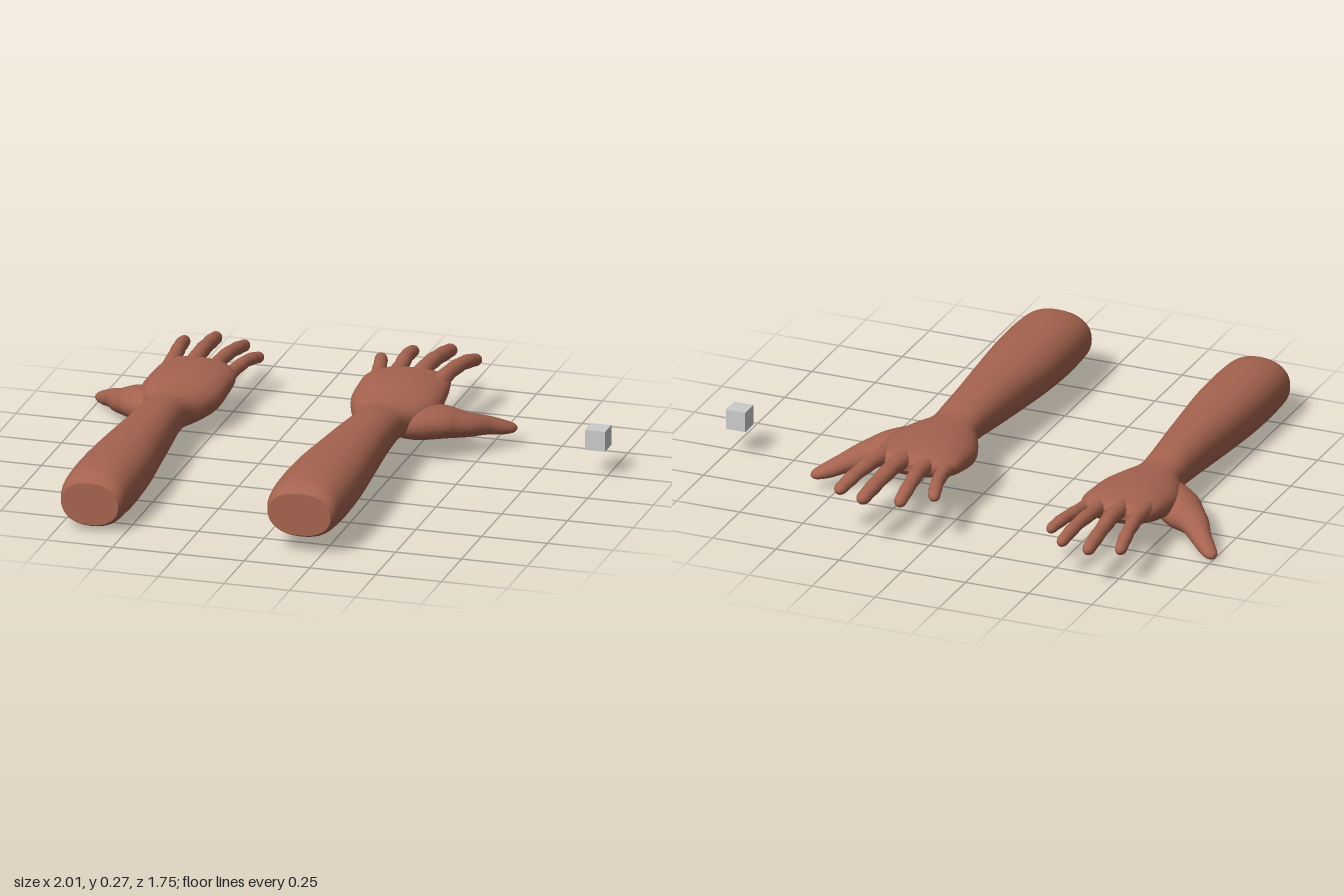
import * as THREE from 'three';

const skin = new THREE.MeshStandardMaterial({ color: 0xa5634f });
skin.name = 'skin';
const grey = new THREE.MeshStandardMaterial({ color: 0xcccccc });
grey.name = 'grey';

const UP = new THREE.Vector3(0, 1, 0);
const soften = (v, p) => Math.sign(v) * Math.abs(v) ** p;

// Smooth skin over sections [x, y, z, halfWidth, halfHeight]; side mirrors x.
function loft(name, sections, { side = 1, rows = 40, sides = 28, power = 1, frontal = false }) {
  const centre = new THREE.CatmullRomCurve3(
    sections.map(([x, y, z]) => new THREE.Vector3(x * side, y, z)), false, 'catmullrom');
  const size = new THREE.CatmullRomCurve3(
    sections.map((s) => new THREE.Vector3(s[3], s[4], 0)), false, 'catmullrom');
  const pos = [], index = [];
  for (let i = 0; i <= rows; i++) {
    const c = centre.getPoint(i / rows), r = size.getPoint(i / rows);
    const t = frontal ? new THREE.Vector3(0, 0, -1) : centre.getTangent(i / rows);
    const s = new THREE.Vector3().crossVectors(UP, t).normalize();
    const u = new THREE.Vector3().crossVectors(t, s);
    for (let j = 0; j < sides; j++) {
      const a = (j / sides) * Math.PI * 2;
      const p = c.clone()
        .addScaledVector(s, r.x * soften(Math.cos(a), power))
        .addScaledVector(u, r.y * soften(Math.sin(a), power));
      pos.push(p.x, p.y, p.z);
      if (i < rows) {
        const k = (j + 1) % sides, o = i * sides;
        index.push(o + j, o + k, o + sides + k, o + j, o + sides + k, o + sides + j);
      }
    }
  }
  // End caps with their own vertices, so the rim stays crisp
  for (const end of [0, 1]) {
    const c = centre.getPoint(end), first = pos.length / 3, ring = end * rows * sides * 3;
    pos.push(c.x, c.y, c.z, ...pos.slice(ring, ring + sides * 3));
    for (let j = 0; j < sides; j++) {
      const a = first + 1 + j, b = first + 1 + ((j + 1) % sides);
      if (end) index.push(first, a, b);
      else index.push(first, b, a);
    }
  }
  const geo = new THREE.BufferGeometry();
  geo.setAttribute('position', new THREE.Float32BufferAttribute(pos, 3));
  geo.setIndex(index);
  geo.computeVertexNormals();
  const mesh = new THREE.Mesh(geo, skin);
  mesh.name = name;
  return mesh;
}

// Finger: flared root, slight joint swellings, rounded tip
function finger(name, path, r, side) {
  const curve = new THREE.CatmullRomCurve3(path.map((p) => new THREE.Vector3(...p)));
  const length = curve.getLength(), sections = [];
  const n = 24;
  for (let i = 0; i <= n; i++) {
    const f = 1 - (1 - i / n) ** 1.6;
    const p = curve.getPointAt(f), left = (1 - f) * length;
    const flare = 0.3 * Math.max(0, 1 - f / 0.45);
    const joint = 0.07 * (Math.exp(-(((f - 0.55) / 0.06) ** 2)) + Math.exp(-(((f - 0.78) / 0.05) ** 2)));
    let w = r * (1.08 - 0.24 * f + flare + joint);
    const tip = r * 1.1;
    if (left < tip) w *= Math.sqrt(Math.max(0.004, 1 - (1 - left / tip) ** 2));
    sections.push([p.x, p.y, p.z, w, w * 0.95]);
  }
  return loft(name, sections, { side, rows: 48, sides: 18 });
}

const forearmAndPalm = [
  [0, 0.157, 0.867, 0.118, 0.08],
  [0, 0.163, 0.835, 0.132, 0.1],
  [0, 0.167, 0.77, 0.138, 0.108],
  [0, 0.168, 0.65, 0.14, 0.112],
  [0, 0.17, 0.48, 0.134, 0.108],
  [0.002, 0.172, 0.3, 0.118, 0.1],
  [0.004, 0.174, 0.12, 0.102, 0.09],
  [0.008, 0.175, -0.03, 0.092, 0.078],
  [0.008, 0.171, -0.12, 0.097, 0.07],
  [0.01, 0.17, -0.2, 0.138, 0.074],
  [0.008, 0.175, -0.29, 0.167, 0.078],
  [0.003, 0.187, -0.39, 0.168, 0.07],
  [0, 0.197, -0.47, 0.162, 0.055],
  [0.012, 0.203, -0.525, 0.135, 0.04],
  [0.02, 0.204, -0.55, 0.09, 0.015],
];

const thumb = [
  [0.03, 0.155, -0.13, 0.03, 0.03],
  [0.1, 0.148, -0.2, 0.075, 0.058],
  [0.185, 0.138, -0.28, 0.088, 0.06],
  [0.26, 0.119, -0.325, 0.06, 0.047],
  [0.32, 0.1, -0.39, 0.042, 0.036],
  [0.365, 0.083, -0.433, 0.035, 0.029],
  [0.398, 0.073, -0.462, 0.026, 0.02],
  [0.41, 0.069, -0.473, 0.015, 0.012],
  [0.415, 0.067, -0.478, 0.002, 0.002],
];

const fingers = [
  ['littleFinger', 0.026, [[-0.115, 0.188, -0.4], [-0.132, 0.2, -0.54], [-0.155, 0.203, -0.65], [-0.182, 0.187, -0.74]]],
  ['ringFinger', 0.028, [[-0.062, 0.197, -0.4], [-0.06, 0.216, -0.58], [-0.073, 0.214, -0.7], [-0.085, 0.19, -0.84]]],
  ['middleFinger', 0.031, [[0.03, 0.2, -0.4], [0.035, 0.224, -0.6], [0.042, 0.215, -0.74], [0.05, 0.195, -0.878]]],
  ['indexFinger', 0.029, [[0.11, 0.196, -0.4], [0.125, 0.217, -0.56], [0.145, 0.213, -0.7], [0.166, 0.188, -0.82]]],
];

function createArm(name, side) {
  const arm = new THREE.Group();
  arm.name = name;
  arm.add(loft('forearmAndPalm', forearmAndPalm, { side, rows: 90, sides: 40, power: 0.88, frontal: true }));
  arm.add(loft('thumb', thumb, { side, rows: 40, sides: 24 }));
  for (const [label, radius, path] of fingers) arm.add(finger(label, path, radius, side));
  return arm;
}

export function createModel() {
  const model = new THREE.Group();
  model.name = 'armsAndCube';

  const left = createArm('leftArm', 1);
  left.position.x = 0.17;

  // The other arm is a little slimmer and lower
  const right = createArm('rightArm', -1);
  right.position.set(-0.628, -0.046, 0);
  right.scale.set(0.91, 1, 0.995);

  const cube = new THREE.Mesh(new THREE.BoxGeometry(0.077, 0.077, 0.077), grey);
  cube.name = 'smallCube';
  cube.position.set(0.96, 0.147, -0.26);

  model.add(left, right, cube);
  return model;
}
